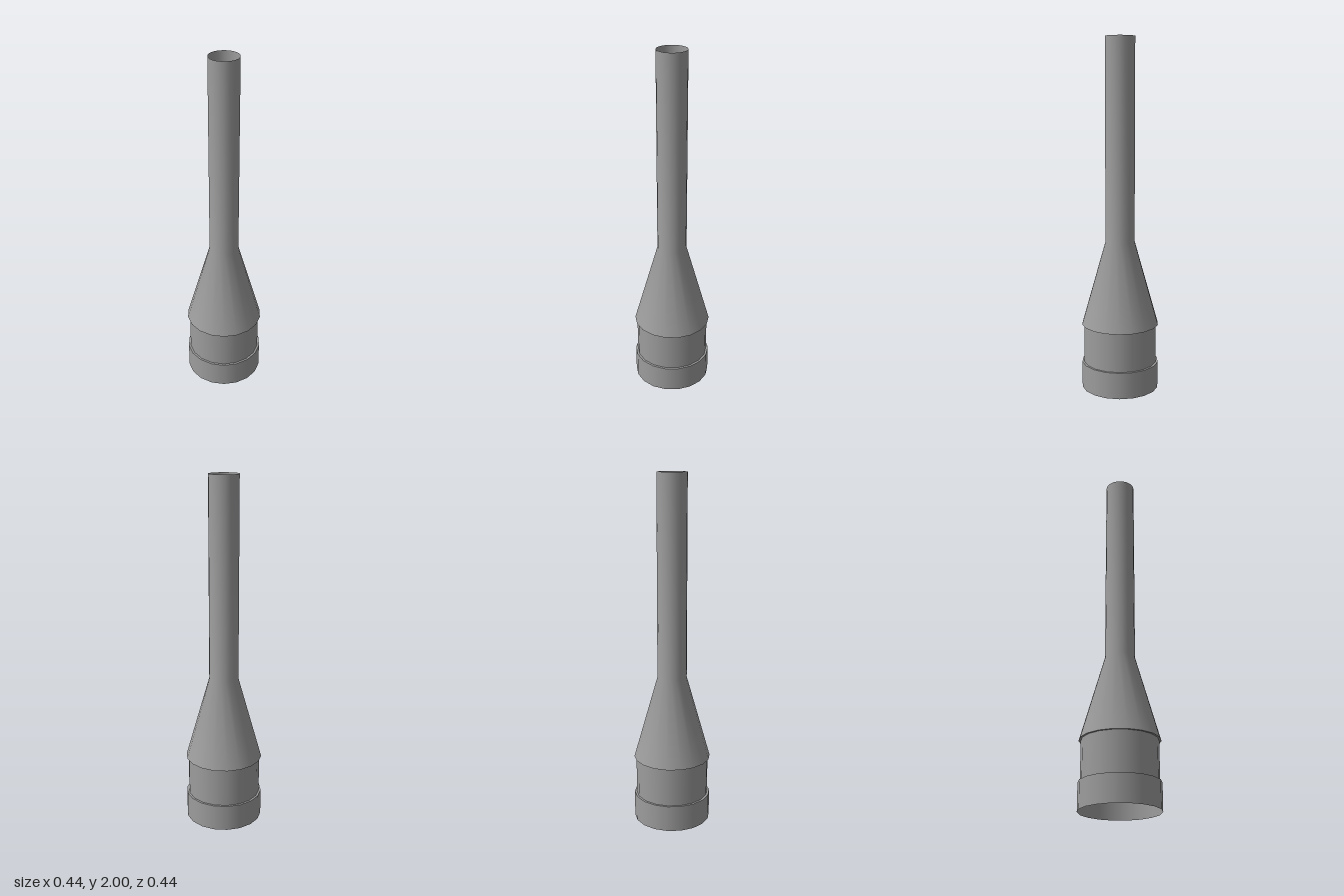
import * as THREE from 'three';

const SIDES = 18;

export function createModel() {
  const group = new THREE.Group();
  const material = new THREE.MeshStandardMaterial({ color: 0x9d9d9d, side: THREE.DoubleSide });

  const add = (name, geometry) => {
    const mesh = new THREE.Mesh(geometry, material);
    mesh.name = name;
    group.add(mesh);
  };

  // Round shell from [radius, height] points, with a corner on the x axis
  const turned = (name, ...profile) =>
    add(name, new THREE.LatheGeometry(profile.map(([r, y]) => new THREE.Vector2(r, y)), SIDES, Math.PI / 2));

  // Narrow lip closing the step between two sections
  const lip = (name, y) =>
    add(name, new THREE.RingGeometry(0.209, 0.221, SIDES, 1).rotateX(-Math.PI / 2).translate(0, y, 0));

  // Collar, open underneath
  turned('baseCollar', [0.221, 0], [0.221, 0.152]);
  lip('collarLip', 0.152);

  // Closed drum
  const body = new THREE.CylinderGeometry(0.209, 0.209, 0.224, SIDES, 1, false, Math.PI / 2);
  add('body', body.translate(0, 0.264, 0));
  lip('shoulderLip', 0.376);

  // Taper running smoothly into the long tube, open at the top
  turned('taperAndTube', [0.221, 0.376], [0.084, 0.858], [0.084, 2]);

  return group;
}
